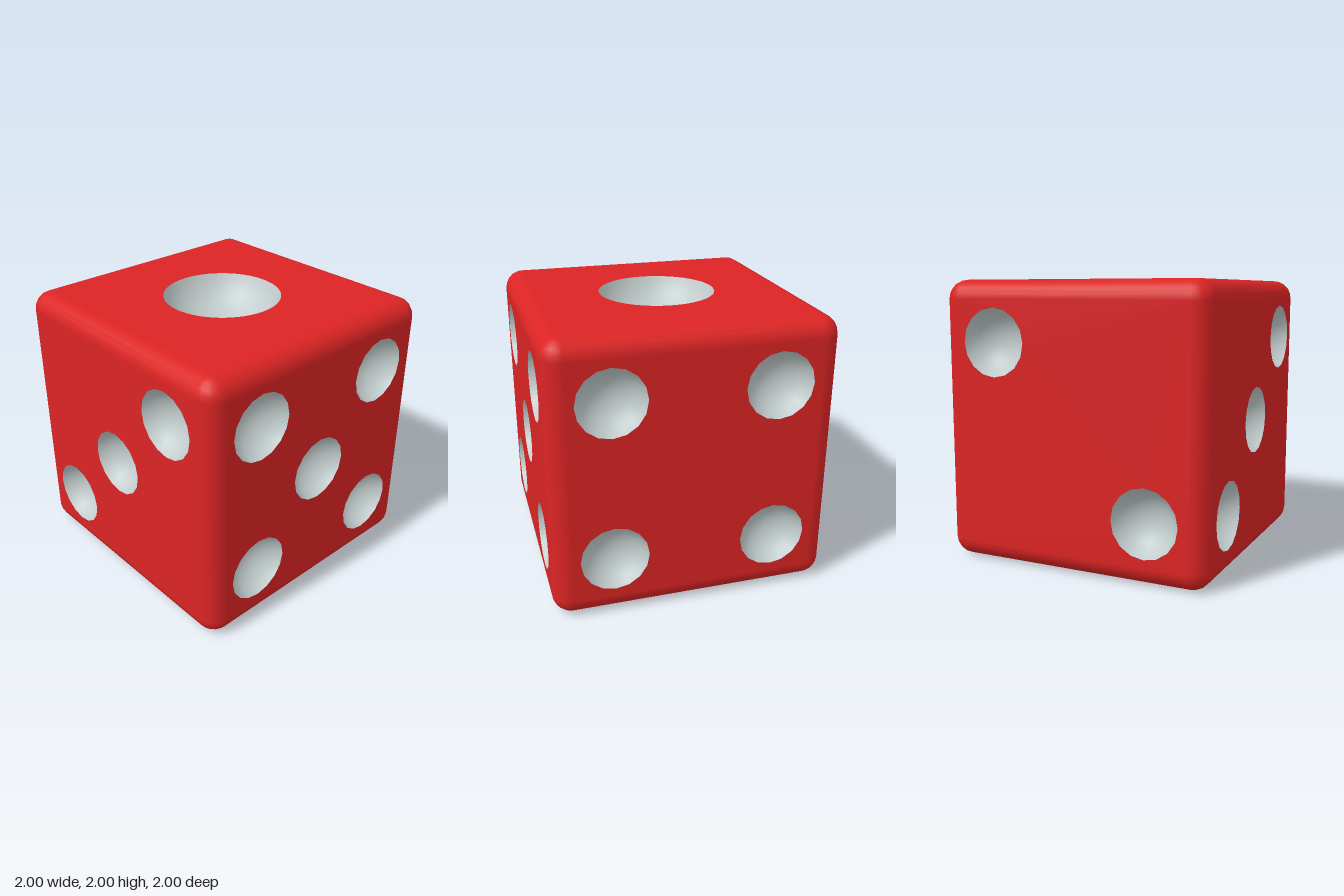
import * as THREE from 'three';
import { mergeGeometries } from 'three/addons/utils/BufferGeometryUtils.js';

const HALF = 1, BEVEL = 0.135, FLAT = HALF - BEVEL;
const P = 0.57; // pip offset from the face centre
const SMALL = { radius: 0.24, sides: 16 };
const LARGE = { radius: 0.42, sides: 64 };
const Q = Math.PI / 2;

// Each face is laid out facing +z, then turned into place
const FACES = [
  { name: 'front', turn: [0, 0, 0], size: SMALL, pips: [[P, P], [0, 0], [-P, -P]] },
  { name: 'left', turn: [0, Q, 0], size: SMALL, pips: [[P, P], [-P, P], [0, 0], [P, -P], [-P, -P]] },
  { name: 'right', turn: [0, -Q, 0], size: SMALL, pips: [[-P, P], [P, -P]] },
  { name: 'back', turn: [0, 2 * Q, 0], size: SMALL, pips: [[P, P], [-P, P], [P, -P], [-P, -P]] },
  { name: 'top', turn: [-Q, 0, 0], size: LARGE, pips: [[0, 0]] },
  { name: 'bottom', turn: [Q, 0, 0], size: SMALL, pips: [[P, P], [P, 0], [P, -P], [-P, P], [-P, 0], [-P, -P]] },
];

const turned = (geometry, [x, y, z]) =>
  geometry.applyMatrix4(new THREE.Matrix4().makeRotationFromEuler(new THREE.Euler(x, y, z)));

// Flat square with a round opening for every pip
function facePlate({ size, pips, turn }) {
  const shape = new THREE.Shape([[-1, -1], [1, -1], [1, 1], [-1, 1]]
    .map(([x, y]) => new THREE.Vector2(x * FLAT, y * FLAT)));
  for (const [x, y] of pips) {
    const ring = [];
    for (let i = 0; i < size.sides; i++) {
      const a = (i / size.sides) * Math.PI * 2;
      ring.push(new THREE.Vector2(x + size.radius * Math.sin(a), y - size.radius * Math.cos(a)));
    }
    shape.holes.push(new THREE.Path(ring));
  }
  return turned(new THREE.ShapeGeometry(shape).translate(0, 0, HALF), turn);
}

// Hollow spherical bowl, seen from inside
function pipBowl({ radius, sides }) {
  const tilt = THREE.MathUtils.degToRad(70), R = radius / Math.sin(tilt), steps = 12;
  const profile = [];
  for (let i = 0; i <= steps; i++) {
    const a = tilt * (1 - i / steps);
    profile.push(new THREE.Vector2(R * Math.sin(a), R * (Math.cos(tilt) - Math.cos(a))));
  }
  return new THREE.LatheGeometry(profile, sides).rotateX(Q);
}

// Rounded edges along all three axes, and rounded corners
function bevels() {
  const parts = [];
  for (let i = 0; i < 4; i++) {
    for (const axis of [[0, 0, 0], [Q, 0, 0], [0, 0, Q]]) {
      const edge = new THREE.CylinderGeometry(BEVEL, BEVEL, FLAT * 2, 5, 1, true, 0, Q);
      parts.push(turned(edge.translate(FLAT, 0, FLAT).rotateY(i * Q), axis));
    }
    for (const flip of [0, Math.PI]) {
      const corner = new THREE.SphereGeometry(BEVEL, 5, 5, Q, Q, 0, Q);
      parts.push(corner.translate(FLAT, FLAT, FLAT).rotateY(i * Q).rotateX(flip));
    }
  }
  return parts;
}

export function createModel() {
  const red = new THREE.MeshStandardMaterial({ color: 0xdc2424 });
  red.name = 'red';
  const grey = new THREE.MeshStandardMaterial({ color: 0xc2cccc });
  grey.name = 'pale grey';

  const model = new THREE.Group();
  model.name = 'die';

  const body = new THREE.Mesh(mergeGeometries([...FACES.map(facePlate), ...bevels()]), red);
  body.name = 'body';
  body.position.y = HALF;
  model.add(body);

  for (const face of FACES) {
    const group = new THREE.Group();
    group.name = `${face.name}Pips`;
    group.position.y = HALF;
    group.rotation.set(...face.turn);
    const bowl = pipBowl(face.size);
    for (const [x, y] of face.pips) {
      const pip = new THREE.Mesh(bowl, grey);
      pip.name = 'pip';
      pip.position.set(x, y, HALF);
      group.add(pip);
    }
    model.add(group);
  }
  return model;
}
